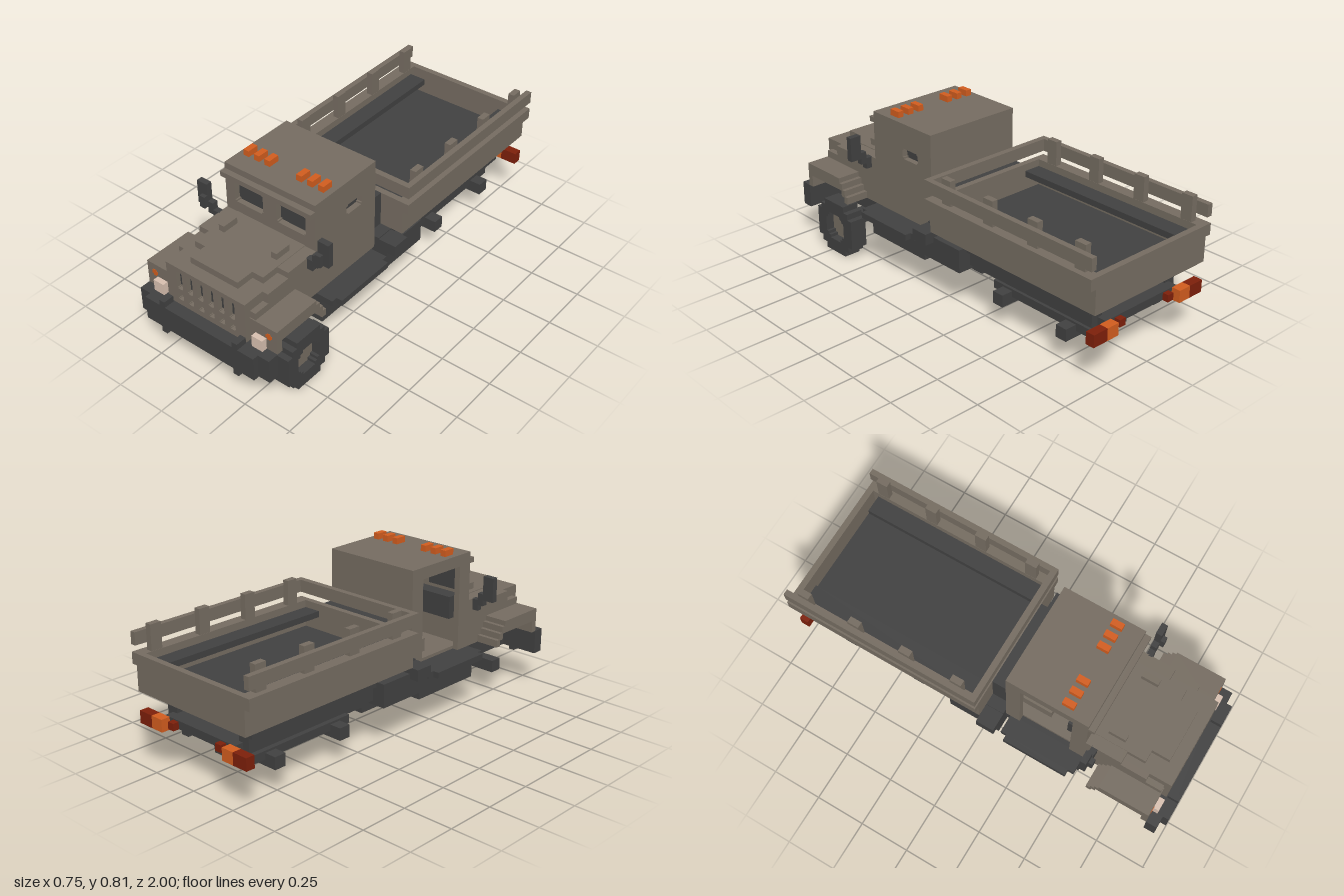
import * as THREE from 'three';

const mat = (name, color) => {
  const m = new THREE.MeshStandardMaterial({ color });
  m.name = name;
  return m;
};

export function createModel() {
  const body = mat('drab brown', 0x746b60);
  const dark = mat('dark grey', 0x404040);
  const amber = mat('amber', 0xd05c1e);
  const red = mat('dark red', 0x7c1f0a);
  const lamp = mat('pale lamp', 0xd6beae);
  const model = new THREE.Group();
  model.name = 'truck';

  // Box given by its ranges on each axis
  const box = (name, m, x0, x1, y0, y1, z0, z1) => {
    const mesh = new THREE.Mesh(new THREE.BoxGeometry(x1 - x0, y1 - y0, z1 - z0), m);
    mesh.position.set((x0 + x1) / 2, (y0 + y1) / 2, (z0 + z1) / 2);
    mesh.name = name;
    model.add(mesh);
  };
  // The same box on both sides
  const pair = (name, m, x0, x1, ...r) => {
    box(name, m, x0, x1, ...r);
    box(name, m, -x1, -x0, ...r);
  };
  // Box centred on x = 0
  const mid = (name, m, w, ...r) => box(name, m, -w, w, ...r);

  // Outlines: plain rectangle, rectangle with one step at each corner, stepped circle
  const outline = (C, pts) => new C(pts.map(([x, y]) => new THREE.Vector2(x, y)));
  const rect = (x0, x1, y0, y1) => outline(THREE.Shape, [[x0, y0], [x1, y0], [x1, y1], [x0, y1]]);
  const notched = (C, cx, cy, w, h, s) => outline(C, [
    [w, h - s], [w - s, h - s], [w - s, h], [s - w, h], [s - w, h - s], [-w, h - s],
    [-w, s - h], [s - w, s - h], [s - w, -h], [w - s, -h], [w - s, s - h], [w, s - h],
  ].map(([x, y]) => [x + cx, y + cy]));
  const stepped = (C, r, a, b) => outline(C, [
    [r, a], [b, a], [b, b], [a, b], [a, r], [-a, r], [-a, b], [-b, b], [-b, a], [-r, a],
    [-r, -a], [-b, -a], [-b, -b], [-a, -b], [-a, -r], [a, -r], [a, -b], [b, -b], [b, -a], [r, -a],
  ]);
  const plate = (name, m, shape, holes, depth, x, y, z, turn = 0) => {
    shape.holes.push(...holes);
    const mesh = new THREE.Mesh(new THREE.ExtrudeGeometry(shape, { depth, bevelEnabled: false }), m);
    mesh.position.set(x, y, z);
    mesh.rotation.y = turn;
    mesh.name = name;
    model.add(mesh);
  };

  // Cab shell with one door missing
  mid('cabRoof', body, 0.255, 0.72, 0.777, 0.107, 0.52);
  mid('cabBackWall', body, 0.255, 0.3, 0.72, 0.107, 0.137);
  plate('cabFrontWall', body, rect(-0.255, 0.255, 0.3, 0.72),
    [-0.12, 0.12].map(x => notched(THREE.Path, x, 0.643, 0.081, 0.052, 0.008)), 0.03, 0, 0, 0.49);
  pair('windscreen', dark, 0.035, 0.205, 0.585, 0.7, 0.484, 0.492);
  plate('cabDoor', body, rect(-0.1765, 0.1765, 0.3, 0.72),
    [notched(THREE.Path, 0.0585, 0.628, 0.055, 0.026, 0.008)], 0.03, 0.225, 0, 0.3135, Math.PI / 2);
  box('doorWindow', dark, 0.219, 0.227, 0.597, 0.659, 0.195, 0.315);
  box('rearPillar', body, -0.255, -0.225, 0.3, 0.72, 0.137, 0.18);
  box('frontPillar', body, -0.255, -0.225, 0.3, 0.72, 0.445, 0.49);
  mid('sunVisor', body, 0.255, 0.72, 0.745, 0.52, 0.55);
  mid('cabFloor', body, 0.225, 0.3, 0.315, 0.137, 0.49);
  mid('cabBase', dark, 0.255, 0.25, 0.3, 0.107, 0.52);
  mid('dashboard', dark, 0.224, 0.46, 0.57, 0.41, 0.484);
  mid('seat', body, 0.17, 0.315, 0.38, 0.137, 0.3);
  box('steeringWheel', dark, 0.07, 0.17, 0.47, 0.57, 0.35, 0.375);
  box('steeringColumn', dark, 0.105, 0.135, 0.505, 0.535, 0.375, 0.41);
  for (const x of [0.075, 0.135, 0.195]) pair('roofLight', amber, x, x + 0.03, 0.777, 0.807, 0.37, 0.428);

  // Stepped hood
  mid('hoodBase', body, 0.225, 0.3, 0.505, 0.52, 0.915);
  pair('hoodSide', body, 0.225, 0.255, 0.3, 0.505, 0.7, 0.83);
  pair('hoodCorner', body, 0.225, 0.255, 0.3, 0.455, 0.83, 0.91);
  mid('cowl', body, 0.255, 0.3, 0.535, 0.52, 0.7);
  mid('hoodStep', body, 0.195, 0.5, 0.538, 0.52, 0.79);
  mid('hoodNose', body, 0.135, 0.5, 0.538, 0.79, 0.88);
  pair('hoodHinge', body, 0.135, 0.165, 0.535, 0.57, 0.585, 0.67);

  // Grille with slots and lower holes
  const bars = [-0.15, -0.09, -0.03, 0.03, 0.09, 0.15];
  plate('grille', body, rect(-0.225, 0.225, 0.3, 0.505), bars.flatMap(x => [
    notched(THREE.Path, x, 0.435, 0.016, 0.046, 0.004),
    notched(THREE.Path, x, 0.345, 0.016, 0.016, 0.004),
  ]), 0.025, 0, 0, 0.915);
  for (const x of bars) box('grilleSlot', dark, x - 0.017, x + 0.017, 0.397, 0.472, 0.912, 0.919);

  // Fenders as open shells, stepping down behind
  pair('fenderTop', body, 0.22, 0.373, 0.39, 0.42, 0.66, 0.915);
  pair('fenderFront', body, 0.22, 0.373, 0.3, 0.39, 0.885, 0.915);
  pair('fenderSkirt', body, 0.343, 0.373, 0.36, 0.39, 0.66, 0.885);
  for (let i = 0; i < 3; i++) {
    pair('fenderStep', body, 0.22, 0.373, 0.36 - i * 0.03, 0.395 - i * 0.03, 0.64 - i * 0.02, 0.665 - i * 0.02);
  }
  pair('headlight', lamp, 0.255, 0.314, 0.3, 0.358, 0.91, 0.942);
  for (const s of [-1, 1]) {
    plate('marker', amber, notched(THREE.Shape, s * 0.329, 0.374, 0.016, 0.016, 0.008), [], 0.005, 0, 0, 0.912);
  }

  // Mirrors on stepped arms
  pair('mirrorFoot', dark, 0.25, 0.285, 0.48, 0.535, 0.55, 0.58);
  pair('mirrorArm', dark, 0.285, 0.315, 0.51, 0.57, 0.55, 0.58);
  pair('mirrorElbow', dark, 0.315, 0.345, 0.54, 0.6, 0.55, 0.6);
  pair('mirror', dark, 0.315, 0.373, 0.54, 0.66, 0.55, 0.58);

  // Bumper
  mid('bumper', dark, 0.313, 0.18, 0.3, 0.915, 1);
  pair('bumperEnd', dark, 0.313, 0.373, 0.18, 0.3, 0.915, 0.97);
  pair('towHook', dark, 0.195, 0.225, 0.15, 0.33, 0.945, 1);

  // Cargo bed
  mid('bedBottom', body, 0.343, 0.36, 0.39, -1, 0.015);
  mid('bedFloor', dark, 0.314, 0.39, 0.405, -0.97, -0.015);
  pair('bedSide', body, 0.313, 0.343, 0.39, 0.535, -1, 0.015);
  pair('bedLip', body, 0.343, 0.373, 0.48, 0.535, -1, 0.015);
  mid('tailgate', body, 0.314, 0.39, 0.535, -1, -0.97);
  mid('bedFront', body, 0.314, 0.39, 0.535, -0.015, 0.015);
  pair('bench', dark, 0.225, 0.314, 0.47, 0.5, -0.945, -0.015);
  pair('sideRail', body, 0.345, 0.373, 0.57, 0.63, -1, 0.015);
  mid('frontRail', body, 0.345, 0.57, 0.63, -0.015, 0.015);
  for (const z of [-0.1, -0.37, -0.64, -0.91]) {
    pair('stake', body, 0.314, 0.345, 0.5, 0.657, z - 0.029, z + 0.029);
  }

  // Chassis
  pair('frameRail', dark, 0.12, 0.18, 0.18, 0.3, -0.85, 0.915);
  mid('bedSubframe', dark, 0.28, 0.3, 0.36, -0.91, -0.34);
  mid('frontSubframe', dark, 0.28, 0.3, 0.36, -0.34, 0.107);
  pair('subframeRail', dark, 0.2, 0.26, 0.23, 0.3, -0.91, 0.05);
  mid('bulkhead', dark, 0.22, 0.36, 0.535, 0.015, 0.107);
  mid('crossBeam', dark, 0.373, 0.3, 0.355, 0.015, 0.107);
  pair('fuelTank', dark, 0.2, 0.325, 0.21, 0.325, -0.16, 0.107);
  mid('engine', dark, 0.12, 0.16, 0.3, 0.52, 0.9);
  mid('underPan', dark, 0.2, 0.18, 0.23, -0.85, 0.59);
  mid('driveShaft', dark, 0.03, 0.12, 0.18, -0.85, 0.72);
  pair('runningBoard', dark, 0.25, 0.343, 0.27, 0.3, 0.13, 0.52);
  pair('runningBoardEdge', dark, 0.343, 0.373, 0.27, 0.3, 0.16, 0.49);
  pair('sideBox', dark, 0.18, 0.285, 0.15, 0.27, 0.13, 0.52);
  mid('transferCase', dark, 0.105, 0.09, 0.18, -0.07, 0.075);
  for (const z of [0.717, -0.37, -0.76]) {
    mid('axle', dark, 0.285, 0.12, 0.18, z - 0.03, z + 0.03);
    mid('differential', dark, 0.105, z > 0 ? 0.12 : 0.09, 0.18, z - 0.03, z + 0.03);
  }
  pair('leafSpring', dark, 0.18, 0.225, 0.15, 0.19, -0.87, -0.28);

  // Single remaining wheel
  plate('tyre', dark, stepped(THREE.Shape, 0.135, 0.075, 0.105),
    [stepped(THREE.Path, 0.07, 0.04, 0.055)], 0.088, 0.285, 0.135, 0.717, Math.PI / 2);
  plate('wheelHub', body, stepped(THREE.Shape, 0.07, 0.04, 0.055), [], 0.035, 0.295, 0.135, 0.717, Math.PI / 2);

  // Tail lights on a mounting bar
  mid('tailBar', dark, 0.225, 0.23, 0.27, -0.955, -0.84);
  pair('tailLight', red, 0.262, 0.343, 0.21, 0.27, -1, -0.955);
  pair('turnSignal', amber, 0.195, 0.262, 0.21, 0.27, -1, -0.955);
  pair('reflector', red, 0.135, 0.17, 0.23, 0.265, -0.985, -0.955);

  return model;
}
